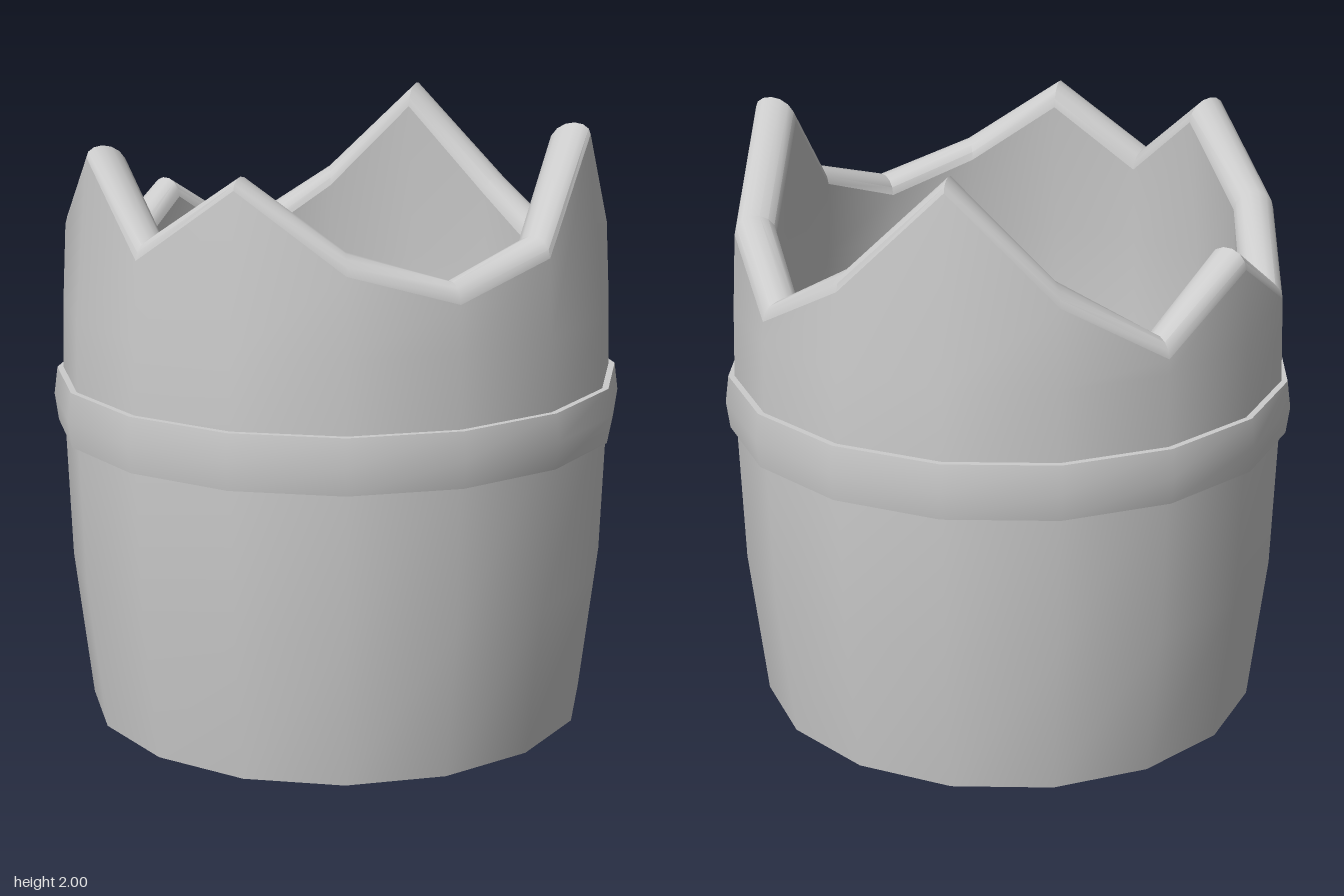
import * as THREE from 'three';
import { toCreasedNormals } from 'three/addons/utils/BufferGeometryUtils.js';

const SIDES = 16;
const THICK = 0.135;
// outer rim height of each stave edge, counted from the front (+z) towards +x
const RIM = [1.87, 1.63, 1.53, 1.63, 1.965, 1.63, 1.45, 1.63, 1.965, 1.63, 1.43, 1.63, 1.43, 1.63, 1.9, 1.63];
// bulging outer profile: [y, radius]
const PROFILE = [[0, 0.835], [0.5, 0.893], [1.06, 0.912], [1.43, 0.902], [1.63, 0.89], [2, 0.845]];

function radiusAt(y) {
  for (let i = 1; i < PROFILE.length; i++) {
    const [y0, r0] = PROFILE[i - 1], [y1, r1] = PROFILE[i];
    if (y <= y1) return r0 + (r1 - r0) * (y - y0) / (y1 - y0);
  }
  return PROFILE[PROFILE.length - 1][1];
}

// joins rings into a surface; each row maps a side number to [radius, y]
function ringSurface(rows) {
  const pos = [], index = [];
  rows.forEach((row, j) => {
    for (let k = 0; k < SIDES; k++) {
      const a = k / SIDES * Math.PI * 2, [r, y] = row(k);
      pos.push(r * Math.sin(a), y, r * Math.cos(a));
      if (j === rows.length - 1) continue;
      const n = (k + 1) % SIDES, b = j * SIDES, t = b + SIDES;
      index.push(b + k, b + n, t + n, b + k, t + n, t + k);
    }
  });
  const g = new THREE.BufferGeometry();
  g.setAttribute('position', new THREE.Float32BufferAttribute(pos, 3));
  g.setIndex(index);
  return toCreasedNormals(g, 0.6);
}

// point on the rounded broken edge, t = 0 outside, t = 1 inside
function rimPoint(k, t) {
  const h = RIM[k], peak = h > 1.8;
  const y = h - (peak ? 0.04 * t : 0) + (peak ? 0.053 : 0.06) * Math.sin(Math.PI * t);
  return [radiusAt(h) - THICK * (1 - Math.cos(Math.PI * t)) / 2, y];
}

export function createModel() {
  const model = new THREE.Group();
  const material = new THREE.MeshStandardMaterial({ color: 0xcccccc });
  const add = (name, geometry) => {
    const mesh = new THREE.Mesh(geometry, material);
    mesh.name = name;
    model.add(mesh);
    return mesh;
  };
  const level = (y, inset = 0) => () => [radiusAt(y) - inset, y];
  const levels = [0, 0.5, 1.06, 1.38];

  // walls
  add('outerWall', ringSurface([...levels.map(y => level(y)), k => rimPoint(k, 0)]));
  add('innerWall', ringSurface([k => rimPoint(k, 1), ...levels.map(y => level(y, THICK)).reverse()]));
  add('bottomEdge', ringSurface([level(0, THICK), level(0)]));

  // rounded, jagged broken edge
  const arc = [];
  for (let i = 0; i <= 7; i++) arc.push(k => rimPoint(k, i / 7));
  add('brokenRim', ringSurface(arc));

  // hoop
  const hoop = [[0.89, 0.97], [0.93, 0.97], [0.942, 1.06], [0.93, 1.15], [0.89, 1.15]];
  add('hoop', ringSurface(hoop.map(p => () => p)));

  // floor, set up inside the wall
  const floor = add('floor', new THREE.CylinderGeometry(0.725, 0.72, 0.06, SIDES));
  floor.position.y = 0.15;

  return model;
}
